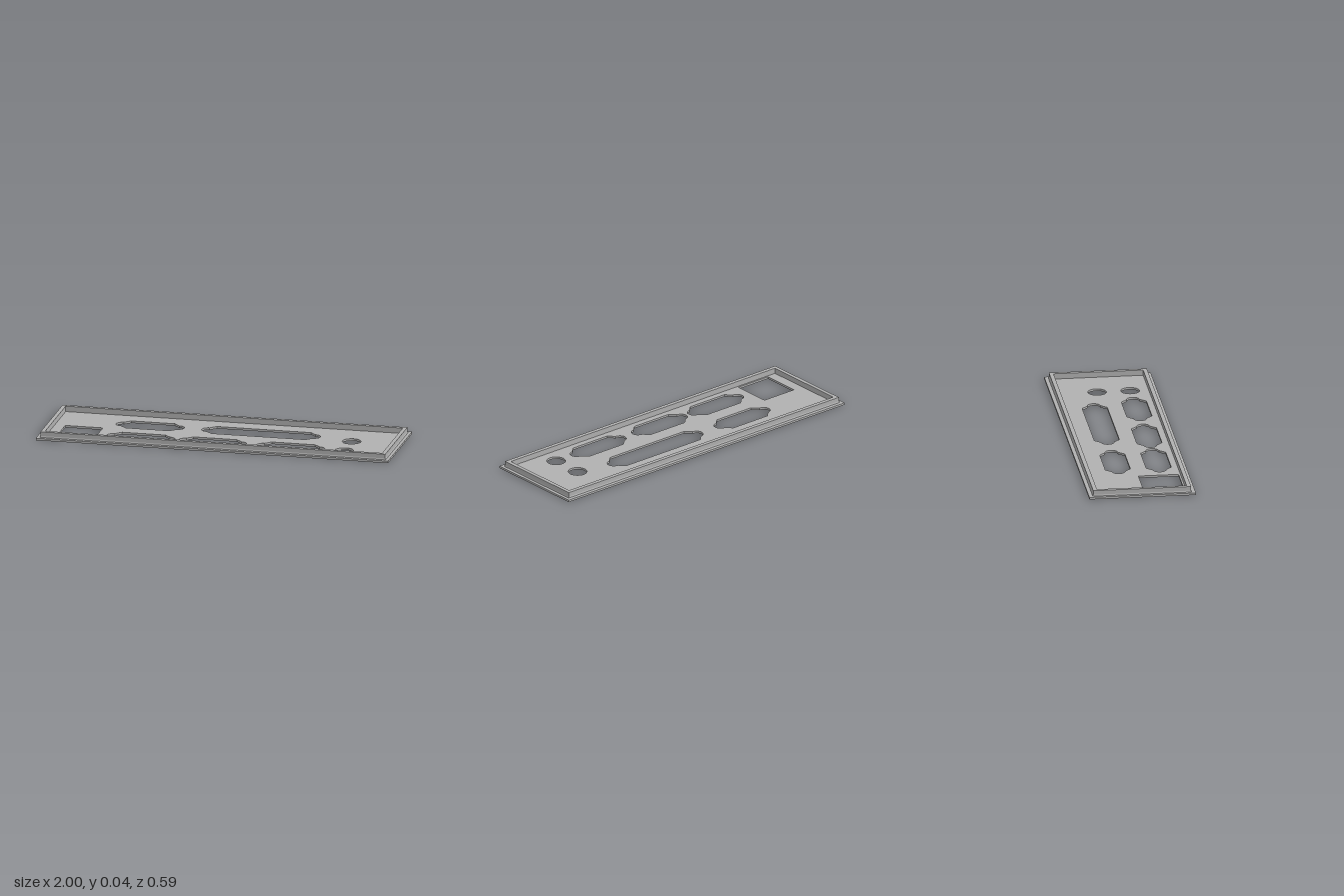
import * as THREE from 'three';
import { toCreasedNormals } from 'three/addons/utils/BufferGeometryUtils.js';

const BASE = 0.012, TOP = 0.043;

// Closed rectangle path, half sizes w and d, centred on (x, z); plan y is -z
function rect(path, w, d, x = 0, z = 0) {
  path.moveTo(x - w, -z - d);
  path.lineTo(x + w, -z - d);
  path.lineTo(x + w, -z + d);
  path.lineTo(x - w, -z + d);
  path.closePath();
  return path;
}

// Connector cut-out: bevelled slot with a round screw lobe at each end
function connectorHole(x, z, half) {
  const r = 0.036, h = 0.07, cx = half - r, fx = cx - (h - r), y = -z;
  const p = new THREE.Path();
  p.moveTo(x - fx, y - h);
  p.lineTo(x + fx, y - h);
  p.lineTo(x + cx, y - r);
  p.absarc(x + cx, y, r, -Math.PI / 2, Math.PI / 2, false);
  p.lineTo(x + fx, y + h);
  p.lineTo(x - fx, y + h);
  p.lineTo(x - cx, y + r);
  p.absarc(x - cx, y, r, Math.PI / 2, Math.PI * 1.5, false);
  p.closePath();
  return p;
}

function roundHole(x, z, r) {
  return new THREE.Path().absarc(x, -z, r, 0, Math.PI * 2, false);
}

// Extrude a plan shape upwards from height y
function slab(shape, y, depth, steps = 1) {
  const g = new THREE.ExtrudeGeometry(shape, { depth, steps, bevelEnabled: false, curveSegments: 20 });
  g.rotateX(-Math.PI / 2);
  g.translate(0, y, 0);
  return g;
}

export function createModel() {
  const group = new THREE.Group();
  group.name = 'portPanel';
  const metal = new THREE.MeshStandardMaterial({ color: 0xb0b0b0 });
  metal.name = 'grey metal';

  // Flat plate with all port openings
  const plate = rect(new THREE.Shape(), 1, 0.297);
  plate.holes.push(rect(new THREE.Path(), 0.107, 0.112, -0.791, 0.128));
  for (const [x, z, half] of [
    [-0.438, -0.083, 0.193], [0.192, -0.083, 0.337],
    [-0.438, 0.145, 0.193], [-0.032, 0.145, 0.193], [0.412, 0.145, 0.193],
  ]) plate.holes.push(connectorHole(x, z, half));
  for (const z of [-0.037, 0.147]) plate.holes.push(roundHole(0.716, z, 0.052));
  const plateMesh = new THREE.Mesh(toCreasedNormals(slab(plate, 0, BASE), 0.5), metal);
  plateMesh.name = 'plate';
  group.add(plateMesh);

  // Raised rim, its outer foot flared slightly where it meets the plate
  const rim = rect(new THREE.Shape(), 0.979, 0.273);
  rim.holes.push(rect(new THREE.Path(), 0.957, 0.25));
  const rimGeo = slab(rim, BASE, TOP - BASE, 4);
  const pos = rimGeo.attributes.position;
  for (let i = 0; i < pos.count; i++) {
    const x = pos.getX(i), z = pos.getZ(i);
    if (pos.getY(i) < BASE + 0.001 && Math.abs(x) > 0.97) {
      pos.setX(i, x + Math.sign(x) * 0.003);
      pos.setZ(i, z + Math.sign(z) * 0.003);
    }
  }
  rimGeo.computeVertexNormals();
  const rimMesh = new THREE.Mesh(rimGeo, metal);
  rimMesh.name = 'rim';
  group.add(rimMesh);

  return group;
}
